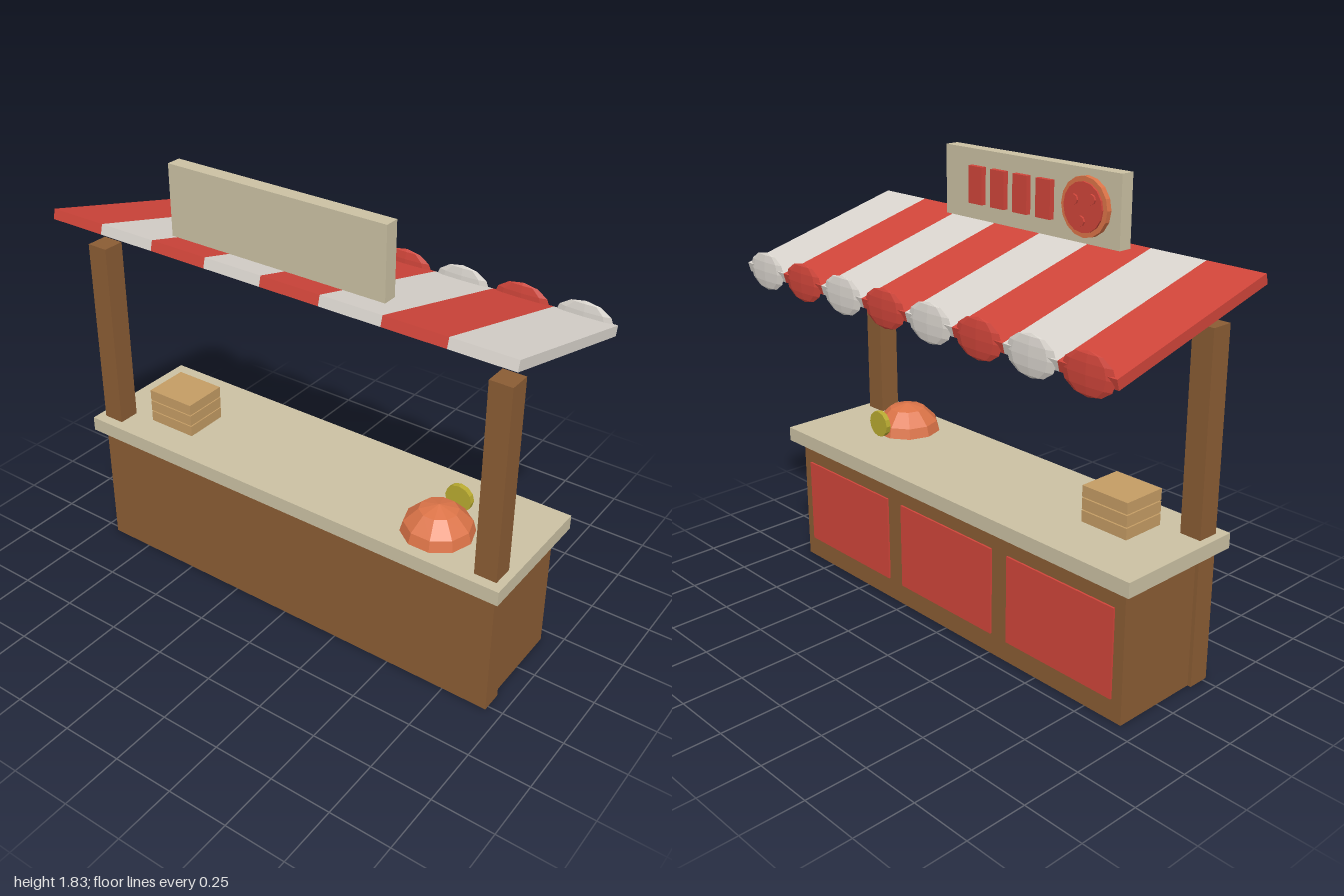
import * as THREE from 'three';

const mat = (name, color) => {
  const m = new THREE.MeshStandardMaterial({ color, flatShading: true });
  m.name = name;
  return m;
};

export function createModel() {
  const root = new THREE.Group();
  root.name = 'marketStall';
  const wood = mat('brown wood', 0x8a5c34);
  const tan = mat('pale wood', 0xcbc1a3);
  const red = mat('red', 0xd0453a);
  const white = mat('off white', 0xdad5ce);
  const crateWood = mat('crate wood', 0xc49c64);
  const orange = mat('orange', 0xdc7448);
  const yellow = mat('yellow green', 0xb8aa30);

  const add = (name, geo, material, x, y, z, parent = root) => {
    const m = new THREE.Mesh(geo, material);
    m.name = name;
    m.position.set(x, y, z);
    parent.add(m);
    return m;
  };
  // Box given by its limits on each axis
  const box = (name, material, [x0, x1], [y0, y1], [z0, z1], parent = root) =>
    add(name, new THREE.BoxGeometry(x1 - x0, y1 - y0, z1 - z0), material,
      (x0 + x1) / 2, (y0 + y1) / 2, (z0 + z1) / 2, parent);
  // Disc with its axis along z
  const disc = (name, material, r, x, y, [z0, z1], sides, parent = root) =>
    add(name, new THREE.CylinderGeometry(r, r, z1 - z0, sides).rotateX(Math.PI / 2),
      material, x, y, (z0 + z1) / 2, parent);

  // Counter: body, wider wall between the posts, worktop
  box('counterBody', wood, [-0.923, 0.923], [0, 0.54], [-0.197, 0.18]);
  box('counterWall', wood, [-0.938, 0.938], [0, 0.54], [0.18, 0.27]);
  box('worktop', tan, [-0.97, 0.97], [0.54, 0.6], [-0.24, 0.312]);
  for (const x of [-0.613, 0, 0.613]) {
    box('counterPanel', red, [x - 0.264, x + 0.264], [0.09, 0.453], [-0.205, -0.197]);
  }

  // Posts
  for (const s of [-1, 1]) {
    const post = box('post', wood, [-0.045, 0.045], [0.6, 1.387], [0.18, 0.27]);
    post.position.x = s * 0.893;
  }

  // Sloping striped awning with a scalloped lower edge
  const awning = new THREE.Group();
  awning.name = 'awning';
  awning.position.y = 1.434;
  root.add(awning);
  const stripeGeo = new THREE.BoxGeometry(0.25, 0.04, 0.77);
  const scallopGeo = new THREE.SphereGeometry(1, 8, 6).scale(0.116, 0.077, 0.014);
  for (let i = 0; i < 8; i++) {
    const x = -0.875 + i * 0.25;
    const m = i % 2 ? white : red;
    add('awningStripe', stripeGeo, m, x, 0, 0, awning).rotation.x = -Math.PI / 12;
    add('awningScallop', scallopGeo, m, x, -0.095, -0.369, awning);
  }

  // Sign board with blocks and a round pie emblem
  const sign = new THREE.Group();
  sign.name = 'sign';
  root.add(sign);
  box('signBoard', tan, [-0.463, 0.463], [1.555, 1.832], [0.238, 0.296], sign);
  for (let i = 0; i < 4; i++) {
    const x = -0.097 + i * 0.123;
    box('signBlock', red, [x - 0.038, x + 0.038], [1.62, 1.768], [0.216, 0.238], sign);
  }
  disc('pieCrust', orange, 0.113, -0.305, 1.694, [0.216, 0.238], 16, sign);
  disc('pieFilling', red, 0.094, -0.305, 1.694, [0.208, 0.216], 16, sign);
  for (const [dx, dy] of [[0.04, 0.025], [-0.045, 0.035], [0.005, -0.05]]) {
    disc('pieTopping', red, 0.02, -0.305 + dx, 1.694 + dy, [0.2, 0.208], 8, sign);
  }

  // Goods: stack of crates, domed loaf and a small round
  for (let i = 0; i < 3; i++) {
    const y = 0.6 + i * 0.05;
    box('crate', crateWood, [-0.755, -0.54], [y, y + 0.045], [-0.008, 0.18]);
  }
  add('loaf', new THREE.SphereGeometry(0.15, 10, 6), orange, 0.613, 0.568, 0.13);
  disc('smallRound', yellow, 0.056, 0.613, 0.661, [-0.031, -0.009], 12);

  return root;
}
